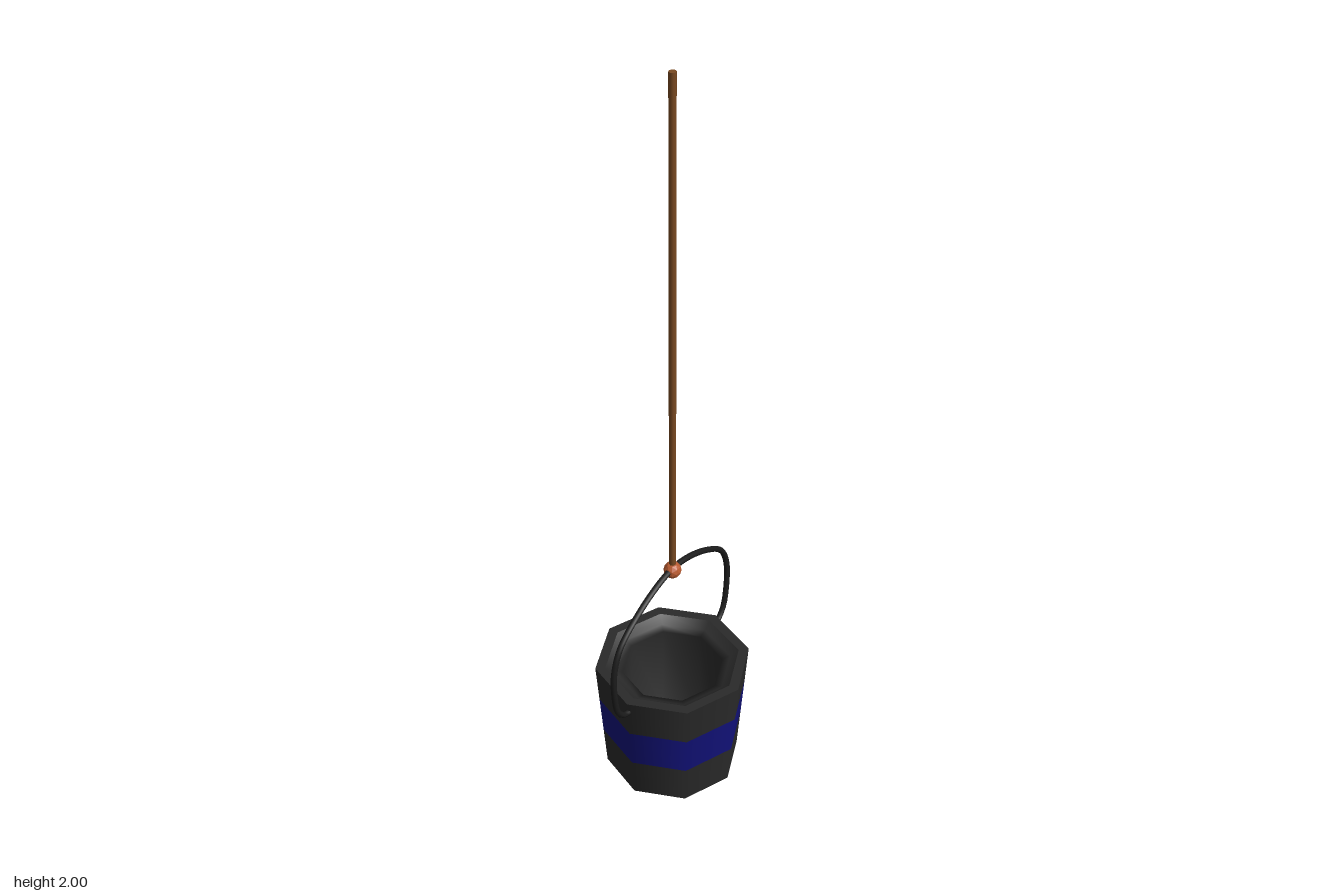
import * as THREE from 'three';

const SIDES = 8;

function addMesh(group, name, geometry, color, flatShading = false) {
  const mesh = new THREE.Mesh(geometry, new THREE.MeshStandardMaterial({ color, flatShading }));
  mesh.name = name;
  group.add(mesh);
  return mesh;
}

// eight-sided surface of revolution from [radius, height] pairs
function lathe(profile) {
  return new THREE.LatheGeometry(profile.map(([r, y]) => new THREE.Vector2(r, y)), SIDES);
}

export function createModel() {
  const group = new THREE.Group();
  const dark = 0x2a2a2a, blue = 0x12127a;

  // tapered bucket wall in three stacked rings, the middle one coloured
  const radiusAt = (y) => 0.18 + 0.025 * (y / 0.343);
  const ring = (y0, y1) => lathe([[radiusAt(y0), y0], [radiusAt(y1), y1]]);
  addMesh(group, 'lowerWall', ring(0, 0.115), dark);
  addMesh(group, 'colouredBand', ring(0.115, 0.23), blue);
  addMesh(group, 'upperWall', ring(0.23, 0.343), dark);

  // underside, rim and hollow inside
  addMesh(group, 'underside', lathe([[0, 0], [0.18, 0]]), dark);
  addMesh(group, 'rim', lathe([[0.205, 0.343], [0.178, 0.343]]), dark);
  addMesh(group, 'inside', lathe([
    [0.178, 0.343], [0.155, 0.325], [0.133, 0.318], [0.133, 0.02], [0, 0.02],
  ]), dark);

  // bail handle: one half of the curve, mirrored front to back
  const half = [[0.19, 0.312], [0.215, 0.315], [0.243, 0.345], [0.256, 0.4], [0.256, 0.49],
    [0.228, 0.555], [0.15, 0.61], [0.06, 0.645]];
  const points = [
    ...half.map(([z, y]) => new THREE.Vector3(0, y, z)),
    new THREE.Vector3(0, 0.653, 0),
    ...half.slice().reverse().map(([z, y]) => new THREE.Vector3(0, y, -z)),
  ];
  const curve = new THREE.CatmullRomCurve3(points);
  addMesh(group, 'handle', new THREE.TubeGeometry(curve, 64, 0.008, 8), 0x1c1c1c);
  for (const s of [-1, 1]) {
    const end = addMesh(group, 'handleEnd', new THREE.SphereGeometry(0.008, 8, 6), 0x1c1c1c);
    end.position.set(0, 0.312, 0.19 * s);
  }

  // rope and the knot tying it to the handle
  const rope = addMesh(group, 'rope', new THREE.CylinderGeometry(0.009, 0.009, 1.35, 8), 0x7a4a22);
  rope.position.y = 1.325;
  const knot = addMesh(group, 'knot', new THREE.IcosahedronGeometry(0.023, 1), 0xb85a30, true);
  knot.position.y = 0.65;

  return group;
}
